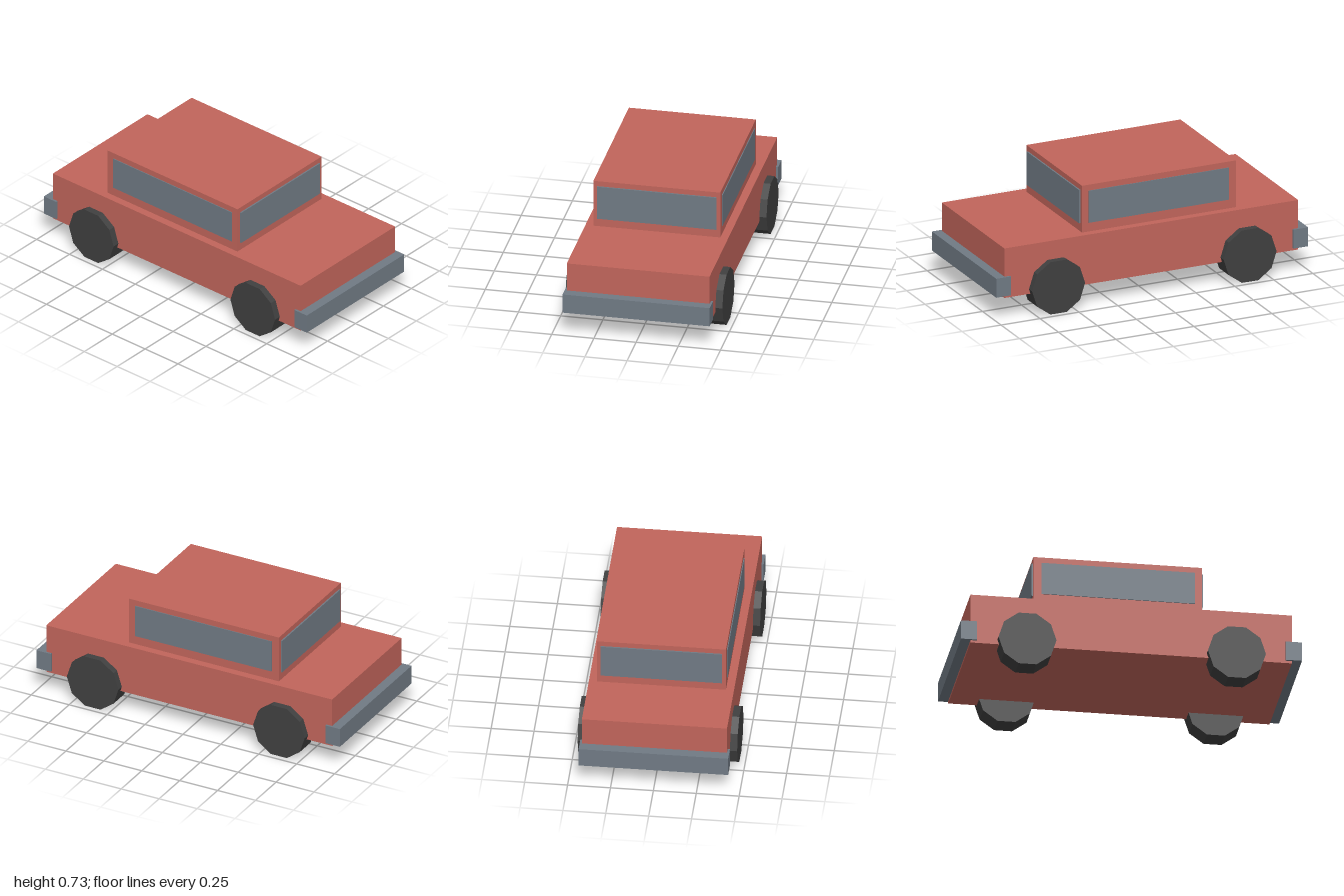
import * as THREE from 'three';

export function createModel() {
  const car = new THREE.Group();
  car.name = 'car';

  const material = (name, color) => {
    const m = new THREE.MeshStandardMaterial({ color, flatShading: true });
    m.name = name;
    return m;
  };
  const paint = material('red paint', 0xc1655b);
  const steel = material('blue grey', 0x707a84);
  const rubber = material('dark rubber', 0x404040);

  // Box given by its minimum and maximum corners
  const box = (name, mat, [x0, y0, z0], [x1, y1, z1]) => {
    const mesh = new THREE.Mesh(new THREE.BoxGeometry(x1 - x0, y1 - y0, z1 - z0), mat);
    mesh.position.set((x0 + x1) / 2, (y0 + y1) / 2, (z0 + z1) / 2);
    mesh.name = name;
    car.add(mesh);
  };

  // Body and cabin
  box('body', paint, [-0.423, 0.132, -0.942], [0.423, 0.438, 0.942]);
  box('cabin', paint, [-0.376, 0.438, -0.566], [0.376, 0.727, 0.422]);

  // Windscreen and rear window
  box('windscreen', steel, [-0.354, 0.489, 0.422], [0.354, 0.695, 0.431]);
  box('rearWindow', steel, [-0.354, 0.489, -0.575], [0.354, 0.695, -0.566]);

  // Bumpers wrap around the ends of the body
  box('frontBumper', steel, [-0.436, 0.147, 0.905], [0.436, 0.264, 1]);
  box('rearBumper', steel, [-0.436, 0.147, -1], [0.436, 0.264, -0.905]);

  // Side windows and ten-sided wheels, mirrored left and right
  const wheelGeometry = new THREE.CylinderGeometry(0.17, 0.17, 0.13, 10).rotateZ(Math.PI / 2);
  for (const [side, s] of [['left', 1], ['right', -1]]) {
    const xs = [0.376 * s, 0.381 * s].sort((a, b) => a - b);
    box(side + 'Window', steel, [xs[0], 0.493, -0.519], [xs[1], 0.691, 0.381]);

    for (const [end, z] of [['Front', 0.614], ['Rear', -0.614]]) {
      const wheel = new THREE.Mesh(wheelGeometry, rubber);
      wheel.position.set(0.4 * s, 0.1617, z);
      wheel.name = side + end + 'Wheel';
      car.add(wheel);
    }
  }
  return car;
}
